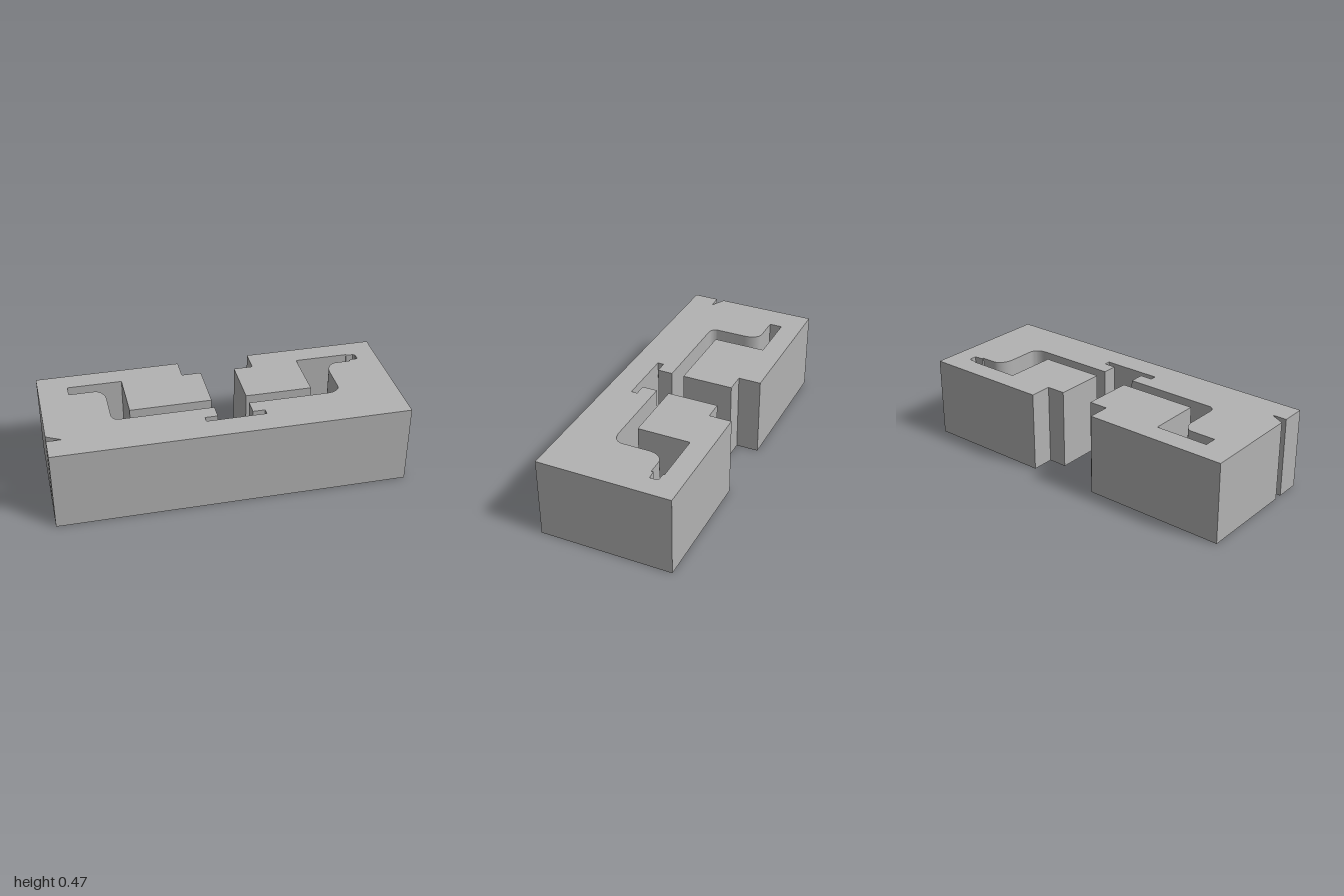
import * as THREE from 'three';
import { toCreasedNormals } from 'three/addons/utils/BufferGeometryUtils.js';

const HEIGHT = 0.467;

export function createModel() {
  const group = new THREE.Group();
  group.name = 'slottedBlock';
  const grey = new THREE.MeshStandardMaterial({ color: 0xb2b2b2 });
  grey.name = 'plain grey';

  // Plan outline, given in x and z (shape y is -z)
  const plan = new THREE.Shape();
  const lines = (...points) => points.forEach(([x, z]) => plan.lineTo(x, -z));
  // Quarter ellipse from the current point to (x, z) around the sharp corner (cx, cz)
  const round = (cx, cz, x, z) => {
    const k = 0.5523, p = plan.currentPoint;
    plan.bezierCurveTo(
      p.x + (cx - p.x) * k, p.y + (-cz - p.y) * k,
      x + (cx - x) * k, -z + (z - cz) * k, x, -z);
  };

  // Front and left sides, back step and left tongue
  plan.moveTo(-1, -0.383);
  lines([1, 0.383], [1, -0.383], [0.25, -0.383], [0.25, -0.253], [0.14, -0.253],
    [0.14, 0.042], [0.52, 0.042], [0.52, -0.262]);
  // Left slot end with its small nose
  lines([0.828, -0.262], [0.828, -0.255], [0.868, -0.253], [0.88, -0.243],
    [0.88, -0.205], [0.828, -0.2], [0.828, -0.189], [0.745, -0.189]);
  // Left slot bend
  round(0.675, -0.189, 0.675, -0.1);
  lines([0.675, 0.055]);
  round(0.675, 0.114, 0.6, 0.114);
  // Centre channel with the T-shaped undercut
  lines([0.14, 0.114], [0.14, 0.202], [0.21, 0.202], [0.21, 0.238],
    [-0.13, 0.238], [-0.13, 0.202], [-0.058, 0.202], [-0.058, 0.114], [-0.59, 0.114]);
  // Right slot bend and square end
  round(-0.63, 0.114, -0.63, 0.07);
  lines([-0.63, -0.1]);
  round(-0.63, -0.189, -0.69, -0.189);
  lines([-0.832, -0.189], [-0.832, -0.262], [-0.522, -0.262], [-0.522, 0.042],
    [-0.058, 0.042], [-0.058, -0.253], [-0.17, -0.253], [-0.17, -0.383]);
  // Right side with its notch
  lines([-1, -0.383], [-1, 0.193], [-0.915, 0.238], [-1, 0.238]);
  plan.closePath();

  // Stand the plan up as a solid, keeping edges sharp and bends smooth
  const extruded = new THREE.ExtrudeGeometry(plan, {
    depth: HEIGHT, bevelEnabled: false, curveSegments: 10,
  });
  extruded.rotateX(-Math.PI / 2);
  const block = new THREE.Mesh(toCreasedNormals(extruded, 0.4), grey);
  block.name = 'block';
  group.add(block);
  return group;
}
